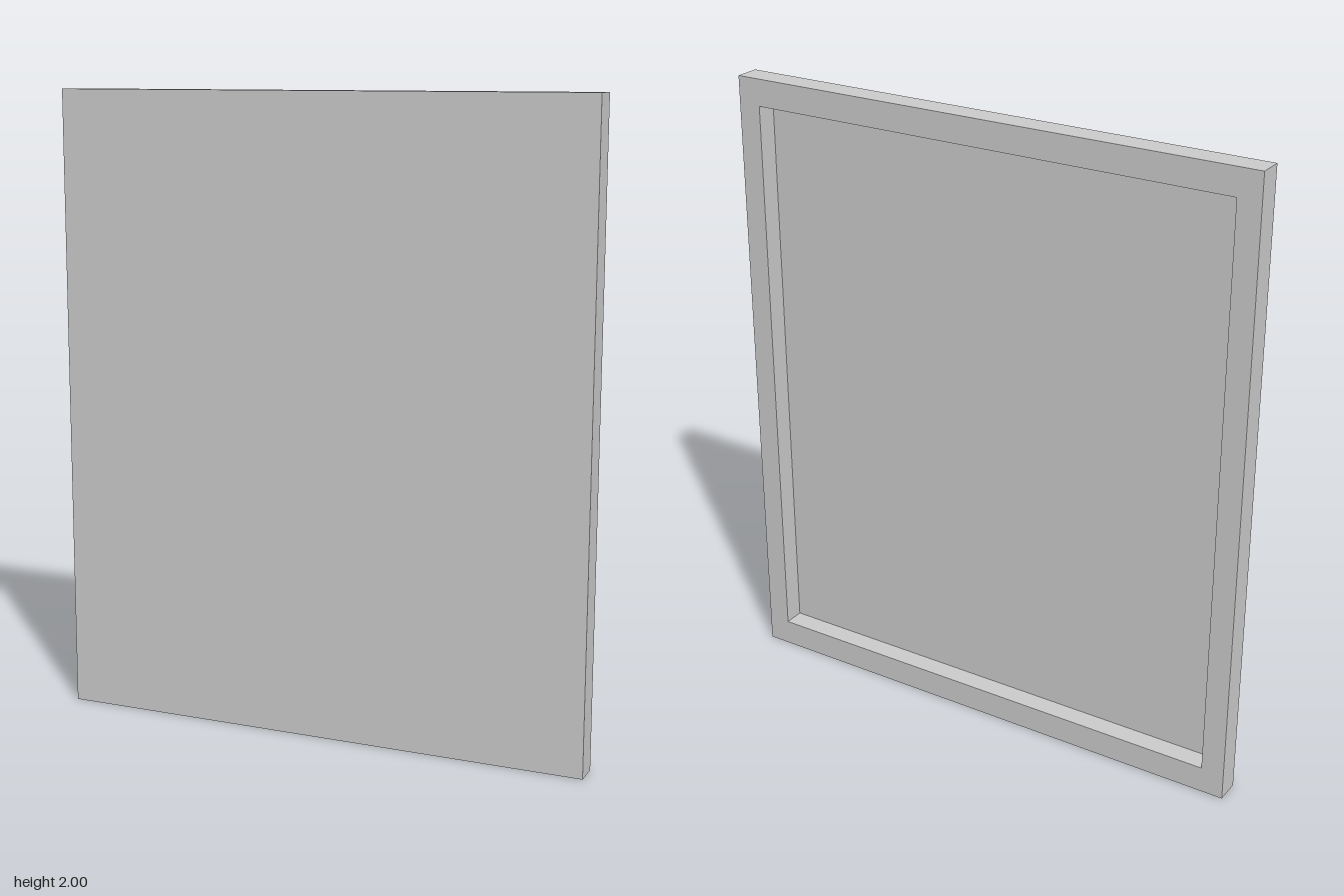
import * as THREE from 'three';

const WIDTH = 1.734, HEIGHT = 2, DEPTH = 0.08;
const INNER = 0.915;   // opening size relative to the outer size
const PLATE = 0.013;   // thickness of the front plate

// Rectangle ring, counter-clockwise seen from the front
function ring(scale, z) {
  const x = WIDTH / 2 * scale, y = HEIGHT / 2 * scale, c = HEIGHT / 2;
  return [[-x, c - y, z], [x, c - y, z], [x, c + y, z], [-x, c + y, z]];
}

// Closed flat-faced shell through successive rings, capped at both ends
function shell(rings) {
  const pos = [];
  const quad = (a, b, c, d) => pos.push(...a, ...b, ...c, ...a, ...c, ...d);
  quad(...rings[0]);
  for (let r = 0; r < rings.length - 1; r++) {
    const a = rings[r], b = rings[r + 1];
    for (let i = 0; i < 4; i++) {
      const j = (i + 1) % 4;
      quad(a[i], b[i], b[j], a[j]);
    }
  }
  quad(...[...rings[rings.length - 1]].reverse());
  const geo = new THREE.BufferGeometry();
  geo.setAttribute('position', new THREE.Float32BufferAttribute(pos, 3));
  geo.computeVertexNormals();
  return geo;
}

export function createModel() {
  const group = new THREE.Group();
  group.name = 'panel';

  // Flat front and outer rim, back border, then the recess walls and floor
  const geo = shell([
    ring(1, DEPTH / 2),
    ring(1, -DEPTH / 2),
    ring(INNER, -DEPTH / 2),
    ring(INNER, DEPTH / 2 - PLATE),
  ]);
  const panel = new THREE.Mesh(geo, new THREE.MeshStandardMaterial({ color: 0xcccccc, flatShading: true }));
  panel.name = 'recessedPanel';
  group.add(panel);
  return group;
}
